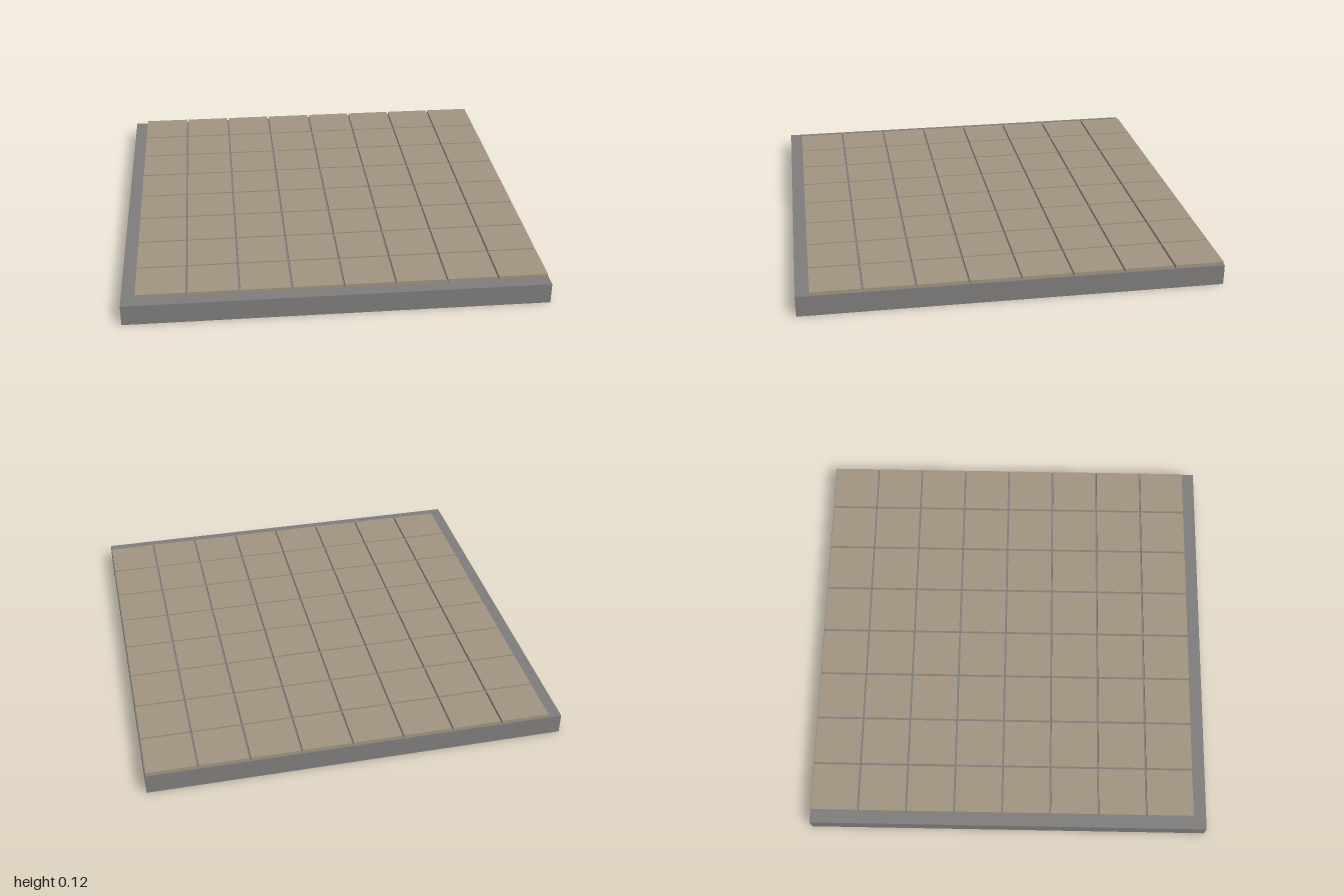
import * as THREE from 'three';

export function createModel() {
  const group = new THREE.Group();
  const stone = new THREE.MeshStandardMaterial({ name: 'grey concrete', color: 0x7f7e7c });
  const clay = new THREE.MeshStandardMaterial({ name: 'tan tile', color: 0xa39482 });

  // base slab
  const slabHeight = 0.1;
  const slab = new THREE.Mesh(new THREE.BoxGeometry(2, slabHeight, 2), stone);
  slab.name = 'slab';
  slab.position.y = slabHeight / 2;
  group.add(slab);

  // 8 x 8 paving tiles, pushed toward the left and back edges
  const count = 8, pitch = 0.2425, size = 0.2325, thickness = 0.016;
  const first = -0.935 + size / 2;
  const tileGeometry = new THREE.BoxGeometry(size, thickness, size);
  const tiles = new THREE.Group();
  tiles.name = 'tiles';
  for (let row = 0; row < count; row++) {
    for (let col = 0; col < count; col++) {
      const tile = new THREE.Mesh(tileGeometry, clay);
      tile.name = 'tile';
      tile.position.set(first + col * pitch, slabHeight + thickness / 2, -first - row * pitch);
      tiles.add(tile);
    }
  }
  group.add(tiles);
  return group;
}
